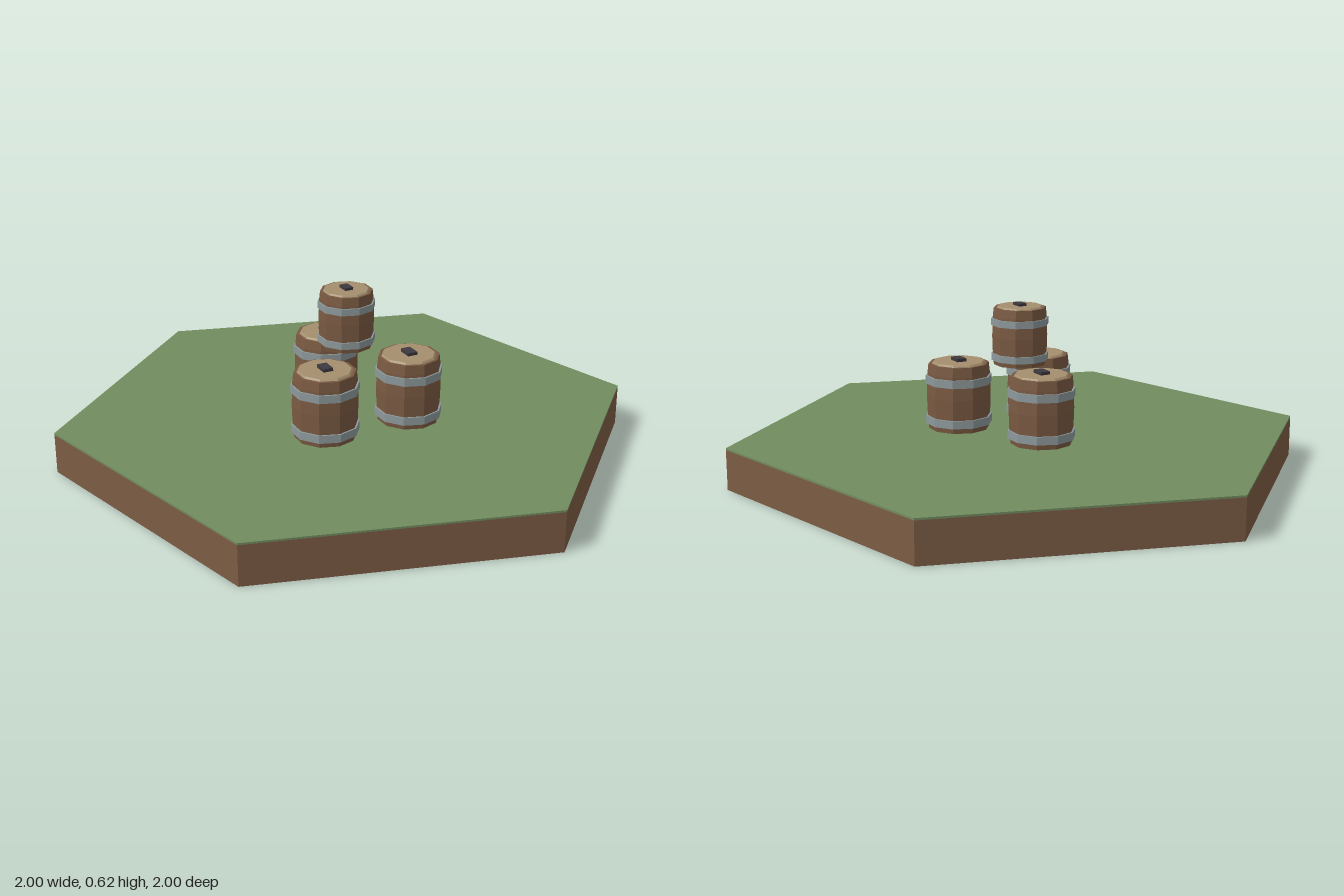
import * as THREE from 'three';

const mat = (name, color, flatShading = true) => {
  const m = new THREE.MeshStandardMaterial({ color, flatShading });
  m.name = name;
  return m;
};

const SIDES = 10;

export function createModel() {
  const mats = {
    grass: mat('grass green', 0x728c5f),
    dirt: mat('dirt brown', 0x7c5c44),
    wood: mat('stave brown', 0x7a5a42),
    lid: mat('lid tan', 0xa48f6e),
    iron: mat('hoop grey', 0x8d999b),
    dark: mat('bung dark', 0x3d3a40),
  };

  const add = (parent, name, geometry, material, y = 0) => {
    const mesh = new THREE.Mesh(geometry, material);
    mesh.name = name;
    mesh.position.y = y;
    parent.add(mesh);
    return mesh;
  };

  // Hexagonal ground tile: dirt block with a thin grass cap
  const model = new THREE.Group();
  model.name = 'barrelStackOnTile';
  const tile = new THREE.Group();
  tile.name = 'groundTile';
  tile.rotation.y = Math.PI / 12;
  const R = 1.035;
  add(tile, 'dirtBlock', new THREE.CylinderGeometry(R, R, 0.143, 6), mats.dirt, 0.0715);
  add(tile, 'grassCap', new THREE.CylinderGeometry(R, R, 0.007, 6), mats.grass, 0.1465);
  model.add(tile);

  // Ten-sided barrel parts, shared by every barrel
  const profile = [[0, 0], [0.109, 0], [0.113, 0.035], [0.116, 0.12], [0.113, 0.205], [0.109, 0.239], [0, 0.239]];
  const bodyGeo = new THREE.LatheGeometry(profile.map(([r, y]) => new THREE.Vector2(r, y)), SIDES);
  const hoopGeo = new THREE.CylinderGeometry(0.12, 0.12, 0.029, SIDES);
  const lidGeo = new THREE.CylinderGeometry(0.092, 0.1, 0.008, SIDES);
  const bungGeo = new THREE.BoxGeometry(0.036, 0.012, 0.054);

  const addBarrel = (name, x, y, z, scale) => {
    const barrel = new THREE.Group();
    barrel.name = name;
    add(barrel, 'staves', bodyGeo, mats.wood);
    add(barrel, 'lowerHoop', hoopGeo, mats.iron, 0.034);
    add(barrel, 'upperHoop', hoopGeo, mats.iron, 0.181);
    add(barrel, 'lid', lidGeo, mats.lid, 0.241);
    add(barrel, 'bung', bungGeo, mats.dark, 0.25);
    barrel.position.set(x, y, z);
    barrel.scale.setScalar(scale);
    model.add(barrel);
  };

  // Three barrels on the ground, a smaller one stacked on top
  addBarrel('leftBarrel', 0.163, 0.15, 0.163, 1);
  addBarrel('rightBarrel', -0.163, 0.15, 0.163, 1);
  addBarrel('backBarrel', 0, 0.15, -0.163, 1);
  addBarrel('topBarrel', 0, 0.4, 0, 0.85);

  return model;
}
